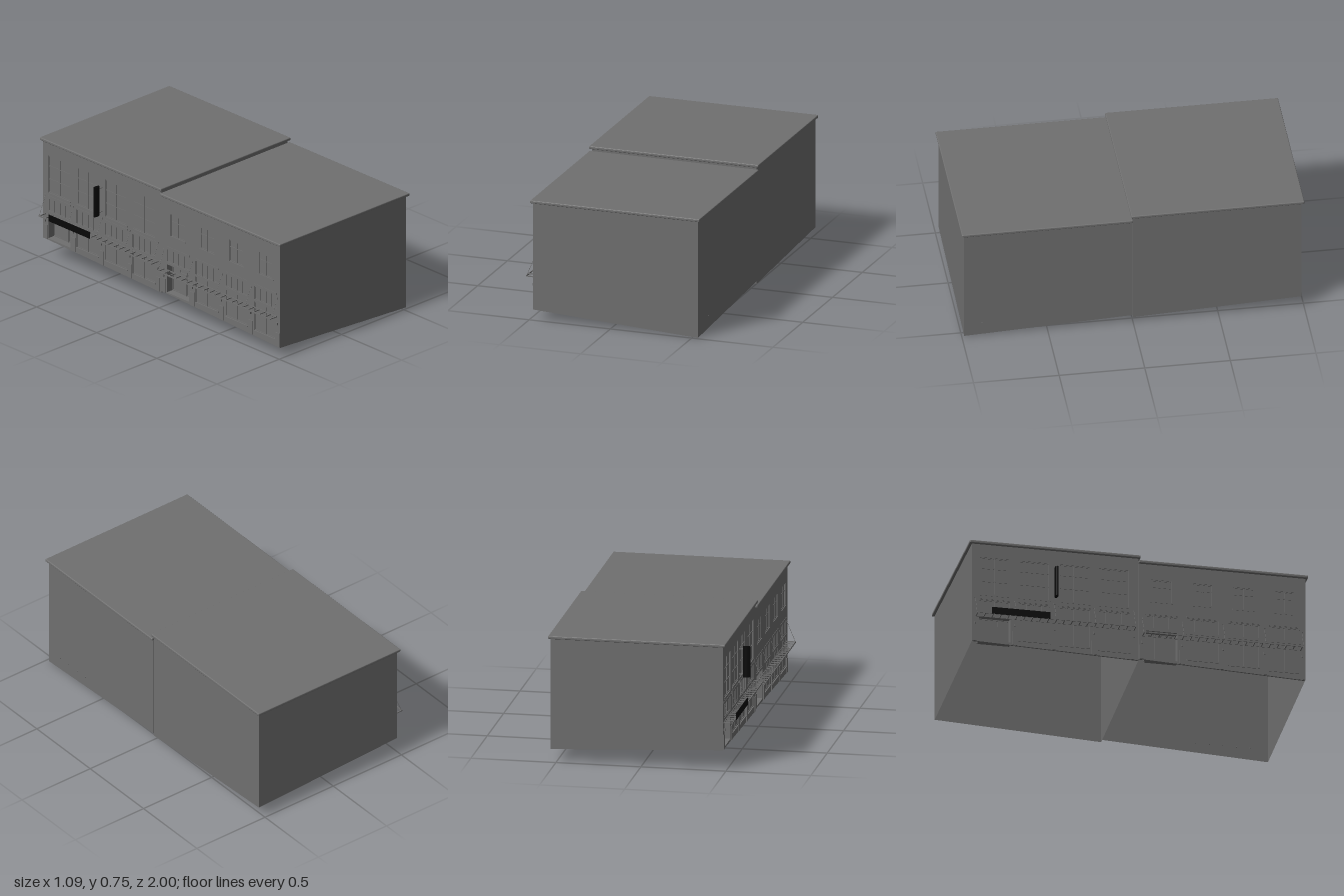
import * as THREE from 'three';
import { RoundedBoxGeometry } from 'three/addons/geometries/RoundedBoxGeometry.js';

const grey = new THREE.MeshStandardMaterial({ color: 0x707070, side: THREE.DoubleSide, flatShading: true });
const black = new THREE.MeshStandardMaterial({ color: 0x080808 });
const XL = -0.48, XR = 0.533; // street facade and rear wall

function add(parent, name, geometry, material = grey) {
  const mesh = new THREE.Mesh(geometry, material);
  mesh.name = name;
  parent.add(mesh);
  return mesh;
}

// Box given by its ranges on each axis
function box(parent, name, x0, x1, y0, y1, z0, z1, material) {
  const mesh = add(parent, name, new THREE.BoxGeometry(x1 - x0, y1 - y0, z1 - z0), material);
  mesh.position.set((x0 + x1) / 2, (y0 + y1) / 2, (z0 + z1) / 2);
}

function rod(parent, name, from, to, radius) {
  const a = new THREE.Vector3(...from), b = new THREE.Vector3(...to);
  add(parent, name, new THREE.TubeGeometry(new THREE.LineCurve3(a, b), 1, radius, 6));
}

// Flat four-cornered wall
function wall(parent, name, corners) {
  const g = new THREE.BufferGeometry();
  g.setAttribute('position', new THREE.Float32BufferAttribute(corners.flat(), 3));
  g.setIndex([0, 1, 2, 0, 2, 3]);
  g.computeVertexNormals();
  add(parent, name, g);
}

const points = list => list.map(p => new THREE.Vector2(...p));

// Glazing centred on depth z: pane, evenly spaced uprights, crossbars at the given height fractions
function glazing(parent, name, [x0, x1, y0, y1], cols, rows, z) {
  const g = new THREE.Group(), t = 0.003;
  g.name = name;
  parent.add(g);
  box(g, 'pane', x0, x1, y0, y1, z - 0.001, z + 0.001);
  for (let i = 0; i <= cols; i++) {
    const x = x0 + t + (x1 - x0 - 2 * t) * i / cols;
    box(g, 'upright', x - t, x + t, y0, y1, z - 0.004, z + 0.005);
  }
  for (const r of rows) {
    const y = y0 + t + (y1 - y0 - 2 * t) * r;
    box(g, 'crossbar', x0, x1, y - t, y + t, z - 0.004, z + 0.004);
  }
}

// Street wall. In this group x runs along world z, and z points out of the facade.
function facade(parent, b) {
  const f = new THREE.Group();
  f.name = b.name + 'Facade';
  f.rotation.y = -Math.PI / 2;
  parent.add(f);
  const groundAt = x => THREE.MathUtils.mapLinear(x, b.z0, b.z1, b.low[0], b.low[1]);
  const shape = new THREE.Shape(points(
    [[b.z0, b.low[0]], [b.z1, b.low[1]], [b.z1, b.top - 0.01], [b.z0, b.top - 0.01]]));

  b.bays.forEach((c, i) => {
    const g = groundAt(c), h = 0.095, isDoor = i === 0;
    const [w, y0, y1] = b.upper;
    const sill = g + (isDoor ? 0.012 : 0.04), head = 0.285;
    const openings = [
      ['upperWindow', [c - w, c + w, y0, y1], 2, b.upperRows, 0.473],
      ['transomWindow', [c - h, c + h, 0.3, 0.385], 4, [0, 1], 0.473],
      ['shopWindow', [c - h, c + h, sill, head], isDoor ? 3 : 2, [0, 1], isDoor ? 0.43 : 0.473],
    ];
    for (const [name, r, cols, rows, depth] of openings) {
      const [l, rt, lo, hi] = r;
      shape.holes.push(new THREE.Path(points([[l, lo], [l, hi], [rt, hi], [rt, lo]])));
      glazing(f, name, r, cols, rows, depth);
    }
    box(f, 'upperSill', c - w - 0.006, c + w + 0.006, y0 - 0.008, y0, 0.472, 0.482);
    box(f, 'lintel', c - h, c + h, 0.39, 0.4, 0.475, 0.482);
    if (isDoor) {
      // Recessed entrance with floor, ceiling and cheeks
      box(f, 'entranceFloor', c - h, c + h, sill - 0.004, sill, 0.43, 0.479);
      box(f, 'entranceCeiling', c - h, c + h, head, head + 0.004, 0.43, 0.479);
      for (const s of [-1, 1]) box(f, 'entranceCheek', c + s * h - 0.002, c + s * h + 0.002, sill, head, 0.43, 0.479);
      box(f, 'door', c - 0.028, c + 0.028, sill, 0.24, 0.428, 0.436);
    } else {
      box(f, 'shopSill', c - h, c + h, sill - 0.008, sill, 0.472, 0.484);
    }
  });
  add(f, 'facadeWall', new THREE.ExtrudeGeometry(shape, { depth: 0.01, bevelEnabled: false })).position.z = 0.47;

  // Pilaster bases, lamps and canopy tie rods between the bays
  const step = b.bays[1] - b.bays[0], y = b.canopy;
  for (let i = 0; i <= b.bays.length; i++) {
    const x = THREE.MathUtils.clamp(b.bays[0] + (i - 0.5) * step, b.z0 + 0.02, b.z1 - 0.02);
    const g = groundAt(x);
    box(f, 'pilasterBase', x - 0.015, x + 0.015, g + 0.002, g + 0.09, 0.478, 0.484);
    box(f, 'lamp', x - 0.004, x + 0.004, y - 0.05, y - 0.035, 0.479, 0.489);
    rod(f, 'tieRod', [x, y, 0.53], [x, y + 0.12, 0.48], 0.0012);
    box(f, 'tiePlate', x - 0.005, x + 0.005, y + 0.115, y + 0.125, 0.478, 0.483);
  }

  // Ladder-like canopy
  const [k0, k1] = b.canopyRange;
  box(f, 'canopyFrontRail', k0, k1, y - 0.004, y + 0.004, 0.531, 0.535);
  box(f, 'canopyWallRail', k0, k1, y - 0.004, y + 0.004, 0.48, 0.483);
  for (let i = 0; i < 21; i++) {
    const x = k0 + 0.003 + (k1 - k0 - 0.006) * i / 20;
    box(f, 'canopyRung', x - 0.003, x + 0.003, y - 0.003, y + 0.003, 0.48, 0.532);
  }
  return f;
}

function block(parent, b) {
  const g = new THREE.Group();
  g.name = b.name + 'Block';
  parent.add(g);
  const top = b.top - 0.01;
  // End walls and rear wall over sloping ground, open underneath
  [b.z0, b.z1].forEach((z, i) => wall(g, 'endWall',
    [[XL, b.low[i], z], [XR, b.rear[i], z], [XR, top, z], [XL, top, z]]));
  wall(g, 'rearWall', [[XR, b.rear[1], b.z1], [XR, b.rear[0], b.z0], [XR, top, b.z0], [XR, top, b.z1]]);
  // Flat roof slab with a rounded, overhanging edge
  const [r0, r1] = b.roof;
  const roof = add(g, 'roof', new RoundedBoxGeometry(1.042, 0.018, r1 - r0, 2, 0.005));
  roof.position.set(0.026, b.top - 0.009, (r0 + r1) / 2);
  return facade(g, b);
}

export function createModel() {
  const model = new THREE.Group();
  model.name = 'shopBuilding';

  block(model, {
    name: 'front', z0: 0.001, z1: 0.985, low: [0.1, 0.06], rear: [0.045, 0], top: 0.725,
    roof: [0, 1], bays: [0.136, 0.379, 0.622, 0.865],
    upper: [0.06, 0.475, 0.612], upperRows: [0, 0.68, 1], canopy: 0.25, canopyRange: [0.02, 0.96],
  });

  const back = block(model, {
    name: 'back', z0: -0.985, z1: -0.001, low: [0.12, 0.09], rear: [0.075, 0.03], top: 0.755,
    roof: [-1, 0.01], bays: [-0.85, -0.615, -0.38, -0.145],
    upper: [0.09, 0.42, 0.655], upperRows: [0, 0.36, 0.72, 1], canopy: 0.28, canopyRange: [-0.965, -0.025],
  });

  // Long sign on the canopy
  box(back, 'canopySign', -0.88, -0.535, 0.276, 0.317, 0.536, 0.54, black);

  // Blade sign with an oval plan, on two brackets
  const blade = add(back, 'bladeSign', new THREE.CylinderGeometry(0.0225, 0.0225, 0.185, 24), black);
  blade.scale.x = 0.45;
  blade.position.set(-0.495, 0.521, 0.525);
  for (const y of [0.445, 0.595]) rod(back, 'signBracket', [-0.495, y, 0.478], [-0.495, y, 0.51], 0.003);

  // Small vents low on the rear wall
  for (const z of [0.88, 0.8, 0.72, 0.64, 0.56]) box(model, 'vent', XR - 0.004, XR + 0.001, 0.077, 0.083, z - 0.003, z + 0.003);

  return model;
}
